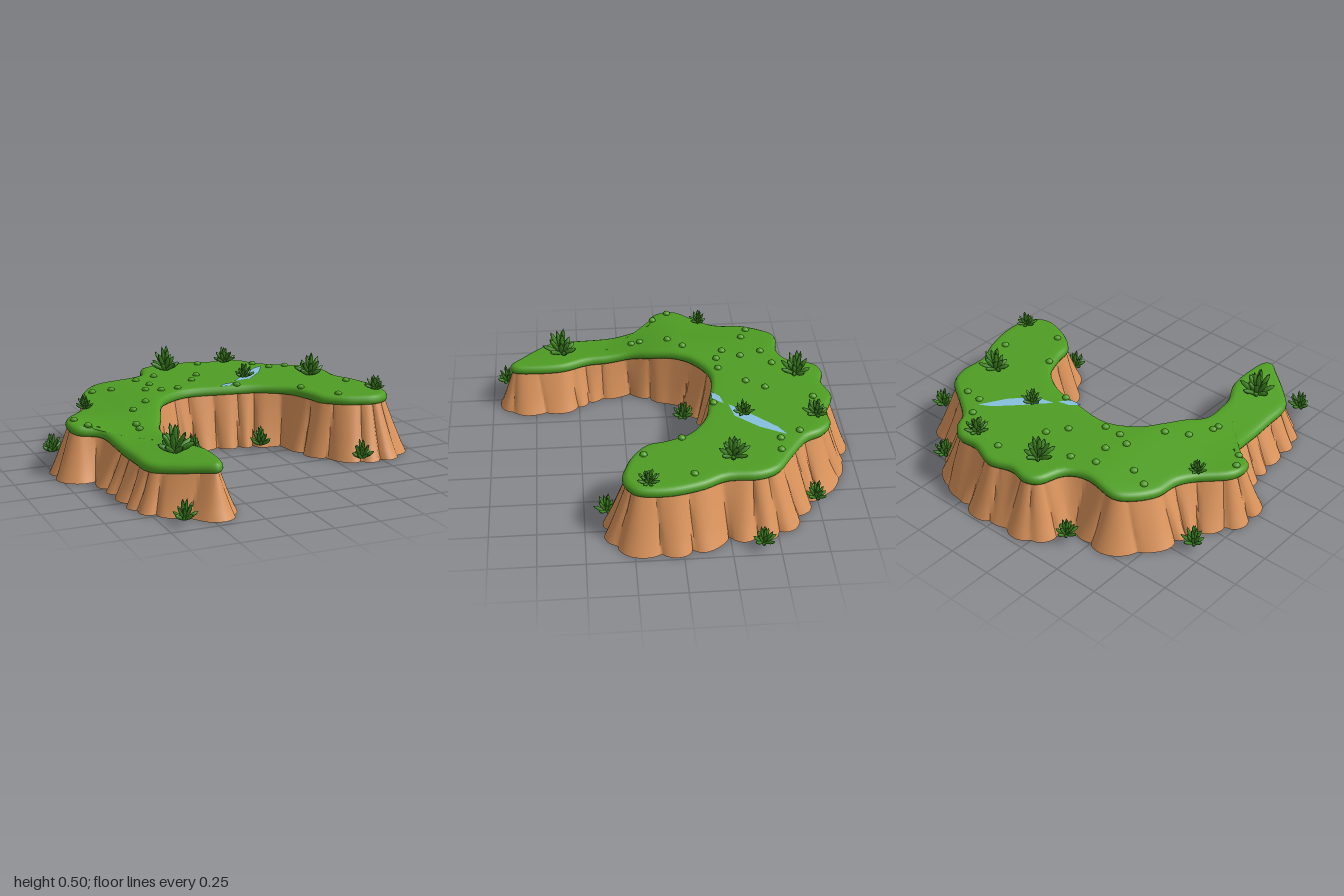
import * as THREE from 'three';
import { mergeGeometries, mergeVertices, toCreasedNormals } from 'three/addons/utils/BufferGeometryUtils.js';

const mat = (name, color) => {
  const m = new THREE.MeshStandardMaterial({ color, side: THREE.DoubleSide });
  m.name = name;
  return m;
};
const ss = THREE.MathUtils.smoothstep;

// Plateau edge (x, z): outer side from the right tip round to the left tip, then the inner bay
const OUTER = [[0.74, 0.3], [0.82, 0.27], [0.865, 0.2], [0.87, 0.05], [0.83, -0.11], [0.77, -0.24], [0.77, -0.4],
  [0.72, -0.51], [0.59, -0.6], [0.47, -0.69], [0.42, -0.78], [0.34, -0.84], [0.22, -0.84], [0.08, -0.89],
  [-0.05, -0.855], [-0.16, -0.875], [-0.24, -0.83], [-0.29, -0.7], [-0.4, -0.65], [-0.57, -0.665], [-0.66, -0.6],
  [-0.73, -0.48], [-0.745, -0.35], [-0.8, -0.25], [-0.92, -0.12], [-0.94, -0.02], [-0.905, 0.05], [-0.8, 0.1],
  [-0.765, 0.24], [-0.75, 0.45], [-0.735, 0.64], [-0.64, 0.75], [-0.53, 0.84], [-0.46, 0.89]];
const INNER = [[-0.41, 0.83], [-0.41, 0.6], [-0.475, 0.45], [-0.49, 0.35], [-0.5, 0.2], [-0.45, 0.08], [-0.4, -0.05],
  [-0.32, -0.16], [-0.16, -0.24], [0.08, -0.21], [0.24, -0.175], [0.38, -0.08], [0.44, 0.05], [0.47, 0.16],
  [0.56, 0.24], [0.65, 0.28]];
const edge = new THREE.CatmullRomCurve3(
  [...OUTER, ...INNER].map(([x, z]) => new THREE.Vector3(x, 0, z)), true, 'catmullrom', 0.5);
edge.arcLengthDivisions = 1000;

// Ground height: level, sinking toward the left arm
const height = (x, z) =>
  0.355 - 0.045 * ss(-x, 0.35, 0.85) - 0.068 * ss(z, -0.1, 0.36) * ss(-x, 0, 0.3);

// Edge point pushed outward by d
function offsetPoint(t, d) {
  const p = edge.getPoint(t), n = edge.getTangent(t);
  return new THREE.Vector3(p.x - n.z * d, 0, p.z + n.x * d);
}

// Surface through rows of points
function surface(rows, closed) {
  const w = rows[0].length, pos = rows.flat().flatMap(p => [p.x, p.y, p.z]), idx = [];
  for (let r = 0; r < rows.length - 1; r++) {
    for (let c = 0; c < (closed ? w : w - 1); c++) {
      const a = r * w + c, b = r * w + (c + 1) % w, d = a + w, e = b + w;
      idx.push(a, b, d, b, e, d);
    }
  }
  const g = new THREE.BufferGeometry();
  g.setAttribute('position', new THREE.Float32BufferAttribute(pos, 3));
  g.setIndex(idx);
  return g;
}

// Turf: rounded rim plus a gridded top spanning outer to inner edge
function turfGeometry() {
  const M = 130, k = (OUTER.length - 1) / (OUTER.length + INNER.length), A = 10;
  const ts = Array.from({ length: 2 * M }, (_, i) => i < M ? k * i / M : k + (1 - k) * (i - M) / M);
  const rim = [[-0.03, -0.052], [-0.006, -0.048], [0, -0.036], [-0.001, -0.02], [-0.01, -0.006], [-0.028, 0]]
    .map(([d, dy]) => ts.map(t => {
      const p = offsetPoint(t, d);
      p.y = height(p.x, p.z) + dy;
      return p;
    }));
  const top = rim[rim.length - 1], grid = [];
  for (let j = 0; j <= A; j++) {
    const row = [];
    for (let i = 0; i <= M; i++) {
      const p = top[i].clone().lerp(top[(2 * M - i) % (2 * M)], j / A);
      p.y = height(p.x, p.z);
      row.push(p);
    }
    grid.push(row);
  }
  const g = mergeVertices(mergeGeometries([surface(rim, true), surface(grid, false)]), 1e-5);
  g.computeVertexNormals();
  return g;
}

// Cliff: flaring wall of bulging rock columns, open below
function cliffGeometry() {
  const U = 600, V = 6, COLS = 48, TAU = Math.PI * 2;
  const rows = [];
  for (let j = 0; j <= V; j++) {
    const v = j / V, row = [];
    for (let i = 0; i < U; i++) {
      const u = i / U, t = edge.getUtoTmapping(u), p0 = edge.getPoint(t);
      const phase = COLS * u + 0.35 * Math.sin(TAU * 7 * u) + 0.2 * Math.sin(TAU * 17 * u)
        + 0.15 * v * Math.sin(TAU * 11 * u);
      const col = ((Math.floor(phase) % COLS) + COLS) % COLS;
      const amp = 0.75 + 0.25 * Math.sin(col * 12.9);
      const bulge = amp * Math.sqrt(Math.abs(Math.sin(Math.PI * phase)));
      const foot = 0.02 + 0.05 * ss(Math.hypot(p0.x, p0.z), 0.48, 0.72)
        - 0.035 * ss(-p0.x, 0.3, 0.5) * ss(p0.z, -0.3, 0);
      const d = THREE.MathUtils.lerp(foot + 0.055 * bulge, -0.03 + 0.02 * bulge, Math.pow(v, 0.9));
      const p = offsetPoint(t, d);
      p.y = 0.005 + v * (height(p0.x, p0.z) - 0.045);
      row.push(p);
    }
    rows.push(row);
  }
  return toCreasedNormals(surface(rows, true), 0.65);
}

// Rosette of plump pointed leaves, about one unit in radius and height
function plantGeometry() {
  const profile = [[0.03, 0], [0.09, 0.3], [0.125, 0.6], [0.09, 0.85], [0, 1]].map(p => new THREE.Vector2(...p));
  const leaves = [];
  for (const [n, tilt, len, turn] of [[3, 0.2, 1, 0.4], [6, 0.65, 0.95, 0], [7, 1.15, 0.95, 0.3]]) {
    for (let i = 0; i < n; i++) {
      const l = len * (0.9 + 0.12 * Math.sin(i * 5.3 + n));
      leaves.push(new THREE.LatheGeometry(profile, 6).scale(1, l, 0.8)
        .rotateX(tilt + 0.1 * Math.sin(i * 3.1)).rotateY(turn + i / n * Math.PI * 2));
    }
  }
  return mergeGeometries(leaves);
}

export function createModel() {
  const model = new THREE.Group();
  const grass = mat('grass green', 0x4f9e24), rock = mat('sandstone', 0xdd955c);
  const leaf = mat('leaf green', 0x3f8722), blue = mat('water blue', 0x86c0de);
  const add = (name, geo, material) => {
    const m = new THREE.Mesh(geo, material);
    m.name = name;
    model.add(m);
    return m;
  };

  add('turf', turfGeometry(), grass);
  add('cliff', cliffGeometry(), rock);

  // Stream slivers lying on the turf
  for (const pts of [
    [[0.45, -0.59], [0.37, -0.45], [0.26, -0.33], [0.15, -0.31], [0.27, -0.44], [0.38, -0.55]],
    [[0.02, -0.225], [0.07, -0.27], [0.14, -0.285], [0.09, -0.225]],
  ]) {
    const shape = new THREE.Shape(pts.map(([x, z]) => new THREE.Vector2(x, -z)));
    add('stream', new THREE.ShapeGeometry(shape).rotateX(-Math.PI / 2), blue).position.y = 0.358;
  }

  // Plants: x, z, radius, height
  const plant = plantGeometry();
  const place = (name, list, y) => list.forEach(([x, z, r, h], i) => {
    const m = add(name, plant, leaf);
    m.position.set(x, y(x, z), z);
    m.scale.set(r, h, r);
    m.rotation.y = i * 1.3;
  });
  place('plateauPlant', [[-0.12, -0.72, 0.11, 0.15], [0.28, -0.77, 0.09, 0.1], [0.24, -0.38, 0.075, 0.09],
    [0.62, -0.28, 0.11, 0.135], [0.81, 0.17, 0.08, 0.085], [-0.78, -0.23, 0.065, 0.085],
    [-0.57, 0.59, 0.125, 0.16]], height);
  place('footPlant', [[-0.38, -0.8], [0.59, -0.74], [-0.92, -0.42], [0.935, -0.41], [-0.2, -0.09], [0.21, -0.07],
    [0.62, 0.38], [-0.65, 0.92]].map(p => [...p, 0.08, 0.115]), () => 0.03);

  // Small tufts scattered over the turf
  const tuft = new THREE.SphereGeometry(0.022, 7, 4);
  for (const [x, z] of [[0.11, -0.78], [0.42, -0.66], [0.48, -0.55], [0.58, -0.54], [0, -0.53], [-0.07, -0.43],
    [-0.24, -0.6], [-0.37, -0.55], [-0.33, -0.43], [-0.55, -0.46], [-0.65, -0.5], [-0.39, -0.33], [-0.31, -0.29],
    [-0.21, -0.29], [0.13, -0.23], [-0.47, -0.11], [-0.57, -0.03], [-0.9, -0.05], [-0.85, 0.04], [-0.61, 0.13],
    [-0.61, 0.18], [0.44, -0.03], [0.75, -0.07], [0.57, 0.18]]) {
    const m = add('tuft', tuft, grass);
    m.position.set(x, height(x, z) + 0.004, z);
    m.scale.y = 0.7;
  }
  return model;
}
